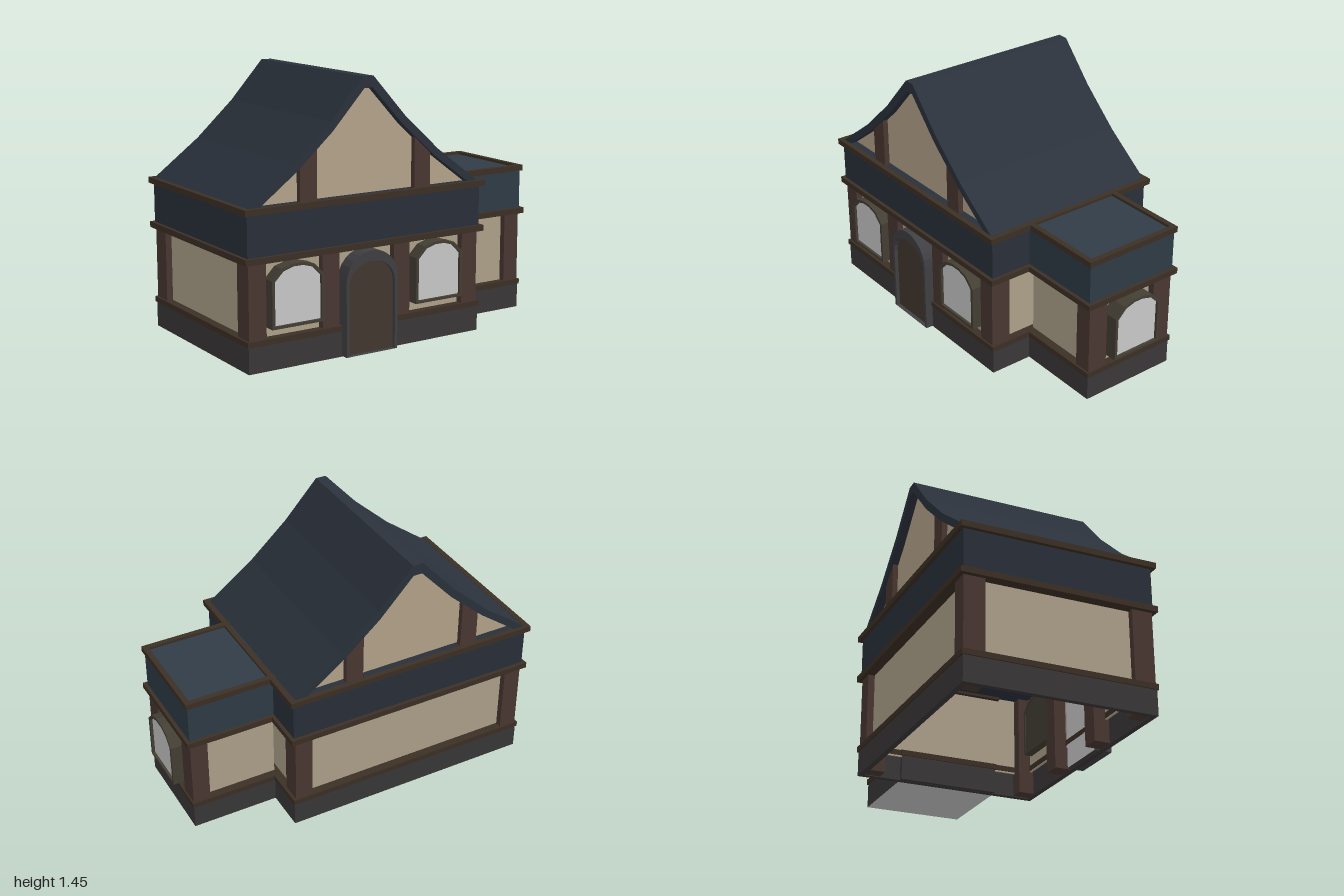
import * as THREE from 'three';

const mat = (color) => new THREE.MeshStandardMaterial({ color, flatShading: true, side: THREE.DoubleSide });

export function createModel() {
  const house = new THREE.Group();
  house.name = 'house';
  const M = {
    grey: mat(0xcccccc), plaster: mat(0xb0a38c), gable: mat(0xb7a68c), roof: mat(0x2b323c),
    band: mat(0x2a303a), annexBand: mat(0x303c47), stone: mat(0x3a3839), post: mat(0x4a3833),
    trim: mat(0x3c3025), frame: mat(0x443f34), door: mat(0x443830), arch: mat(0x404044),
  };

  const add = (name, geometry, material, parent = house) => {
    const mesh = new THREE.Mesh(geometry, material);
    mesh.name = name;
    parent.add(mesh);
    return mesh;
  };
  const box = (name, x0, x1, y0, y1, z0, z1, material) => {
    const m = add(name, new THREE.BoxGeometry(x1 - x0, y1 - y0, z1 - z0), material);
    m.position.set((x0 + x1) / 2, (y0 + y1) / 2, (z0 + z1) / 2);
    return m;
  };
  const poly = (pts) => new THREE.Shape(pts.map(([x, y]) => new THREE.Vector2(x, y)));
  const extrude = (shape, depth) => new THREE.ExtrudeGeometry(shape, { depth, bevelEnabled: false });
  const rect = (x0, x1, z0, z1) => poly([[x0, -z0], [x0, -z1], [x1, -z1], [x1, -z0]]);

  // Rectangular ring lying flat, t thick inwards
  const ring = (name, [x0, x1, z0, z1], y0, y1, t, material) => {
    const s = rect(x0, x1, z0, z1);
    s.holes.push(rect(x0 + t, x1 - t, z0 + t, z1 - t));
    const m = add(name, extrude(s, y1 - y0).rotateX(-Math.PI / 2), material);
    m.position.y = y0;
  };

  // Storeys of the main block and the side annex
  const main = [-0.975, 0.455, -0.53, 0.513];
  const annex = [0.40, 0.942, -0.295, 0.27];
  const grow = ([x0, x1, z0, z1], d) => [x0 - d, x1 + d, z0 - d, z1 + d];
  const blocks = [['main', main, M.band], ['annex', annex, M.annexBand]];
  for (const [label, f, bandMat] of blocks) {
    const [x0, x1, z0, z1] = f;
    if (label === 'main') ring('mainBase', f, 0, 0.15, 0.03, M.stone);
    else box('annexBase', x0, x1, 0.001, 0.15, z0, z1, M.stone);
    ring(label + 'Walls', grow(f, -0.04), 0.13, 0.6, 0.01, M.plaster);
    box(label + 'Band', x0, x1, 0.575, 0.825, z0, z1, bandMat);
    ring(label + 'BaseTrim', grow(f, 0.007), 0.138, 0.168, 0.06, M.trim);
    ring(label + 'LowerTrim', grow(f, 0.02), 0.56, 0.592, 0.07, M.trim);
    ring(label + 'UpperTrim', grow(f, label === 'main' ? 0.022 : 0.012), 0.808, 0.84, 0.03, M.trim);
  }
  const floor = add('annexUnderside', new THREE.PlaneGeometry(0.487, 0.565).rotateX(Math.PI / 2), M.grey);
  floor.position.set(0.6985, 0, -0.0125);

  // Timber posts
  for (const x of [-0.97, -0.54, -0.1, 0.345]) box('frontPost', x, x + 0.1, 0.005, 0.57, 0.395, 0.51, M.post);
  for (const x of [-0.97, 0.345]) box('backPost', x, x + 0.1, 0.005, 0.57, -0.527, -0.412, M.post);
  for (const z of [-0.29, 0.147]) box('annexPost', 0.842, 0.94, 0.005, 0.57, z, z + 0.118, M.post);

  // Main roof: a flared gable shell
  const cx = -0.262;
  const outer = [[0.705, 0.838], [0.44, 1.035], [0.225, 1.23], [0.03, 1.445]];
  const inner = [[0.64, 0.838], [0.42, 1.0], [0.215, 1.18], [0.025, 1.385]];
  const left = (p) => p.map(([x, y]) => [cx - x, y]);
  const right = (p) => p.map(([x, y]) => [cx + x, y]).reverse();
  const arc = (p) => [...left(p), ...right(p)];
  const roof = add('roof', extrude(poly([...arc(outer), ...arc(inner).reverse()]), 1.04), M.roof);
  roof.position.z = -0.53;

  // Gable walls and their posts, cut to the roof slope
  const top = (d) => {
    const i = inner.findIndex(([x]) => x <= d);
    const [a, b] = [inner[i - 1], inner[i]];
    return b[1] + (a[1] - b[1]) * (d - b[0]) / (a[0] - b[0]) + 0.01;
  };
  for (const [side, z, zp] of [['front', 0.455, 0.45], ['back', -0.485, -0.515]]) {
    add(side + 'Gable', extrude(poly(arc(inner)), 0.01), M.gable).position.z = z;
    for (const s of [-1, 1]) {
      const pts = [[0.3, 0.83], [0.4, 0.83], [0.4, top(0.4)], [0.3, top(0.3)]];
      const g = extrude(poly(pts.map(([x, y]) => [cx + s * x, y])), 0.045);
      add(side + 'GablePost', g, M.post).position.z = zp;
    }
  }

  // Arched bay windows: deep frame with a pane set into it
  const windowPts = (w, y0, ys, ym, yt) =>
    [[-w, y0], [w, y0], [w, ys], [w * 0.63, ym], [w * 0.2, yt], [-w * 0.2, yt], [-w * 0.63, ym], [-w, ys]];
  const makeWindow = (name, x, z, turn) => {
    const g = new THREE.Group();
    g.name = name;
    const s = poly(windowPts(0.152, 0.22, 0.47, 0.527, 0.545));
    const hole = windowPts(0.136, 0.234, 0.463, 0.513, 0.53);
    s.holes.push(poly(hole));
    add('windowFrame', extrude(s, 0.13), M.frame, g).position.z = -0.13;
    add('windowPane', new THREE.ShapeGeometry(poly(hole)), M.grey, g).position.z = -0.015;
    add('windowBack', new THREE.ShapeGeometry(poly(hole)), M.frame, g).position.z = -0.125;
    g.position.set(x, 0, z);
    g.rotation.y = turn;
    house.add(g);
  };
  makeWindow('leftFrontWindow', 0.17, 0.547, 0);
  makeWindow('rightFrontWindow', -0.705, 0.547, 0);
  makeWindow('annexWindow', 1, -0.013, Math.PI / 2);

  // Round-headed door and its stone arch
  const archShape = (w, spring, rise) => {
    const pts = [[-w, 0], [w, 0]];
    for (let i = 0; i <= 12; i++) {
      const a = Math.PI * i / 12;
      pts.push([w * Math.cos(a), spring + rise * Math.sin(a)]);
    }
    return poly(pts);
  };
  const surround = archShape(0.158, 0.4, 0.15);
  surround.holes.push(archShape(0.142, 0.37, 0.125));
  add('doorArch', extrude(surround, 0.09), M.arch).position.set(-0.268, 0.004, 0.467);
  add('door', extrude(archShape(0.146, 0.37, 0.127), 0.07), M.door).position.set(-0.268, 0.006, 0.465);
  add('doorBack', new THREE.ShapeGeometry(archShape(0.15, 0.39, 0.13)), M.grey).position.set(-0.268, 0.006, 0.46);

  return house;
}
